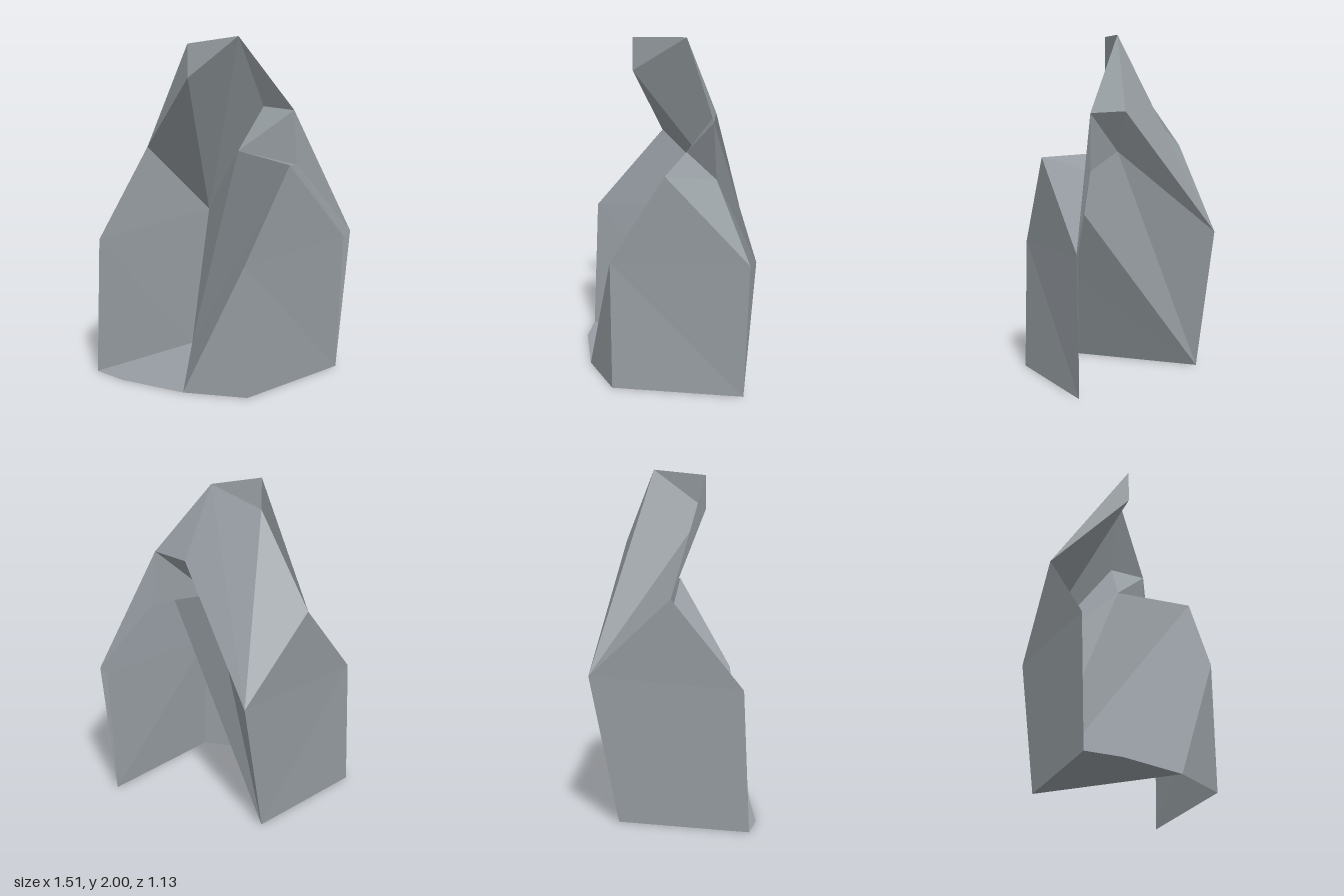
import * as THREE from 'three';

// Corner points of the faceted rock sheets
const P = {
  peak: [0.09, 2, -0.01], tipTop: [-0.215, 1.975, 0.14], tipLow: [-0.215, 1.78, 0.14],
  shoulder: [-0.435, 1.31, -0.275], wallTop: [-0.735, 0.81, 0.01], wallFoot: [-0.76, 0, 0.035],
  floorSide: [-0.615, 0, 0.205], floorFront: [-0.27, 0, 0.445], backFoot: [-0.16, 0, -0.44],
  back: [-0.04, 0.85, -0.565], slabFoot: [0.09, 0, 0.565], slabEnd: [0.68, 0, 0.07],
  slabSide: [0.715, 0.81, 0.065], slabTop: [0.345, 1.31, 0.375], slabFront: [0.07, 0.77, 0.555],
  ridge: [0.43, 1.25, 0.065], wing: [0.755, 0.845, 0.06], brow: [0.41, 1.575, 0.07],
  browBack: [0.25, 1.575, -0.095], notch: [0.09, 1.325, -0.01],
};

// Each part is a list of faces; a face with more corners is split as a fan
const PARTS = {
  peakFacets: [
    'peak tipTop tipLow', 'peak tipLow back', 'tipLow shoulder back', 'tipTop shoulder tipLow',
    'peak back browBack', 'peak browBack brow', 'browBack back notch', 'browBack notch brow',
  ],
  backWall: ['wallTop back shoulder', 'wallTop wallFoot backFoot back'],
  base: ['wallFoot floorSide floorFront backFoot'],
  innerSheet: ['notch back backFoot', 'notch backFoot slabTop', 'backFoot floorFront slabFront slabTop'],
  frontSlab: [
    'slabFront slabFoot slabEnd', 'slabFront slabEnd slabSide', 'slabTop slabFront slabSide',
    'slabFront floorFront slabFoot',
  ],
  sideRidge: [
    'notch slabTop ridge', 'slabTop slabSide ridge', 'ridge slabSide wing', 'slabSide slabEnd wing',
    'notch ridge brow', 'ridge wing brow',
  ],
};

function facets(faces) {
  const pos = [];
  for (const face of faces) {
    const c = face.split(' ').map((name) => P[name]);
    for (let i = 1; i < c.length - 1; i++) pos.push(...c[0], ...c[i], ...c[i + 1]);
  }
  const geo = new THREE.BufferGeometry();
  geo.setAttribute('position', new THREE.Float32BufferAttribute(pos, 3));
  geo.computeVertexNormals();
  return geo;
}

export function createModel() {
  const stone = new THREE.MeshStandardMaterial({ color: 0x969da2, side: THREE.DoubleSide, flatShading: true });
  stone.name = 'stone grey';
  const group = new THREE.Group();
  group.name = 'rock';
  for (const [name, faces] of Object.entries(PARTS)) {
    const mesh = new THREE.Mesh(facets(faces), stone);
    mesh.name = name;
    group.add(mesh);
  }
  return group;
}
